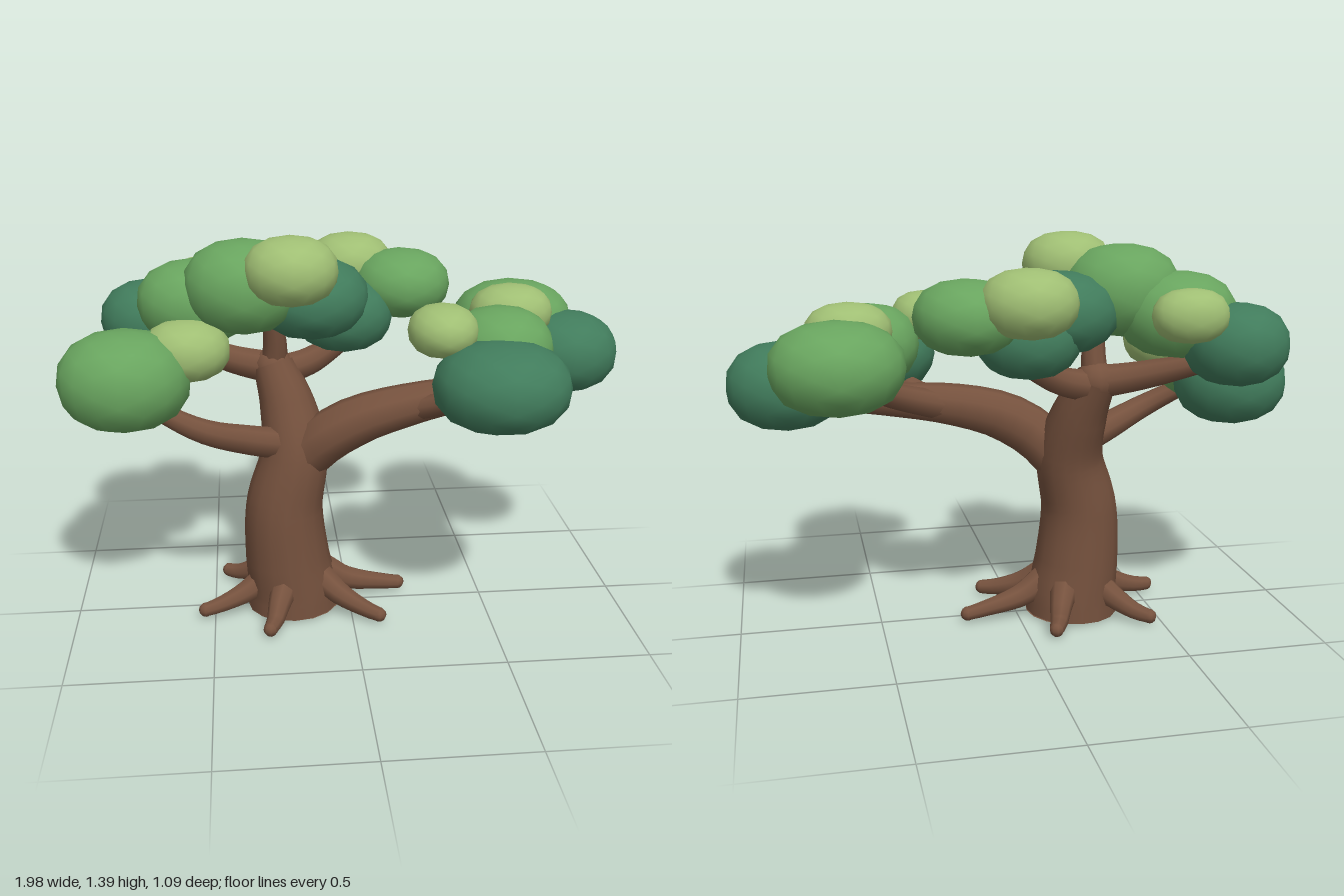
import * as THREE from 'three';
import { mergeVertices } from 'three/addons/utils/BufferGeometryUtils.js';

const mat = (name, color) => Object.assign(new THREE.MeshStandardMaterial({ color }), { name });

// Tube along a smooth path whose radius follows evenly spaced values
function taperedTube(points, radii, sides, rings = 14) {
  const curve = new THREE.CatmullRomCurve3(points.map(p => new THREE.Vector3(...p)));
  const geo = new THREE.TubeGeometry(curve, rings, 1, sides, false);
  const pos = geo.attributes.position, v = new THREE.Vector3();
  for (let i = 0; i <= rings; i++) {
    const centre = curve.getPointAt(i / rings);
    const t = (i / rings) * (radii.length - 1);
    const k = Math.min(Math.floor(t), radii.length - 2);
    const r = THREE.MathUtils.lerp(radii[k], radii[k + 1], t - k);
    for (let j = 0; j <= sides; j++) {
      const n = i * (sides + 1) + j;
      v.fromBufferAttribute(pos, n).sub(centre).multiplyScalar(r).add(centre);
      pos.setXYZ(n, v.x, v.y, v.z);
    }
  }
  return geo;
}

// Rounded clump with fuller shoulders than a sphere
function clumpGeometry() {
  let geo = new THREE.IcosahedronGeometry(1, 2);
  geo.deleteAttribute('uv');
  geo.deleteAttribute('normal');
  geo = mergeVertices(geo, 1e-4);
  const pos = geo.attributes.position, v = new THREE.Vector3(), p = 2.35;
  for (let i = 0; i < pos.count; i++) {
    v.fromBufferAttribute(pos, i);
    v.divideScalar((Math.hypot(v.x, v.z) ** p + Math.abs(v.y) ** p) ** (1 / p));
    pos.setXYZ(i, v.x, v.y, v.z);
  }
  geo.computeVertexNormals();
  return geo;
}

export function createModel() {
  const tree = new THREE.Group();
  tree.name = 'tree';
  const bark = mat('bark brown', 0x76523e);
  bark.side = THREE.DoubleSide;
  const leaves = {
    dark: mat('dark leaf green', 0x417c5c),
    mid: mat('leaf green', 0x69a55f),
    light: mat('light leaf green', 0xa0bf74),
  };
  const add = (name, geo, material, parent = tree) => {
    const mesh = new THREE.Mesh(geo, material);
    mesh.name = name;
    parent.add(mesh);
    return mesh;
  };

  // Trunk, bending to one side and leaning back at the top
  add('trunk', taperedTube(
    [[-0.208, 0.005, -0.01], [-0.21, 0.07, -0.01], [-0.228, 0.2, -0.007], [-0.235, 0.4, -0.005],
      [-0.195, 0.6, -0.02], [-0.215, 0.76, -0.07], [-0.26, 0.9, -0.12]],
    [0.17, 0.157, 0.146, 0.135, 0.12, 0.1, 0.074], 16, 24), bark);
  const base = add('trunkBase', new THREE.CircleGeometry(0.17, 16), bark);
  base.rotation.x = Math.PI / 2;
  base.position.set(-0.208, 0.005, -0.01);
  add('trunkFork', new THREE.SphereGeometry(0.073, 12, 8), bark).position.set(-0.26, 0.89, -0.12);

  // Roots: direction in degrees from +x towards +z, and reach
  const roots = new THREE.Group();
  roots.name = 'roots';
  tree.add(roots);
  [[-7, 0.42], [34, 0.38], [111, 0.31], [163, 0.375], [220, 0.35], [293, 0.3]].forEach(([deg, reach]) => {
    const a = THREE.MathUtils.degToRad(deg);
    const at = (d, y) => [-0.2 + Math.cos(a) * d, y, -0.01 + Math.sin(a) * d];
    add('root', taperedTube([at(0.1, 0.13), at(0.19, 0.075), at(reach - 0.08, 0.04), at(reach - 0.025, 0.031)],
      [0.055, 0.045, 0.034, 0.026], 8, 8), bark, roots);
    const tip = add('rootTip', new THREE.SphereGeometry(0.026, 8, 6), bark, roots);
    tip.position.set(...at(reach - 0.025, 0.031));
  });

  // Limbs and branches
  const limbs = [
    ['mainLimb', [[-0.15, 0.6, 0.0], [-0.08, 0.67, 0.03], [0.04, 0.74, 0.05], [0.22, 0.79, 0.05], [0.45, 0.825, 0.02], [0.72, 0.87, -0.1]], [0.094, 0.092, 0.08, 0.066, 0.052, 0.035]],
    ['frontLimbFork', [[0.2, 0.77, 0.05], [0.32, 0.82, 0.14], [0.46, 0.9, 0.27]], [0.045, 0.038, 0.028]],
    ['backLimbFork', [[0.22, 0.78, 0.05], [0.42, 0.845, -0.04], [0.65, 0.95, -0.21]], [0.055, 0.045, 0.03]],
    ['lowBranch', [[-0.2, 0.63, -0.01], [-0.36, 0.68, 0.06], [-0.52, 0.74, 0.115], [-0.74, 0.85, 0.08]], [0.06, 0.052, 0.04, 0.028]],
    ['leftBranch', [[-0.25, 0.885, -0.12], [-0.4, 0.91, -0.16], [-0.66, 0.98, -0.27]], [0.06, 0.048, 0.03]],
    ['rightBranch', [[-0.26, 0.87, -0.12], [-0.13, 0.9, -0.15], [0.02, 0.98, -0.2]], [0.058, 0.05, 0.036]],
    ['topBranch', [[-0.26, 0.88, -0.12], [-0.255, 0.98, -0.1], [-0.27, 1.12, -0.07]], [0.05, 0.042, 0.03]],
  ];
  limbs.forEach(([name, points, radii]) => add(name, taperedTube(points, radii, 9), bark));

  // Foliage clumps: colour, centre, radii
  const foliage = new THREE.Group();
  foliage.name = 'foliage';
  tree.add(foliage);
  const clump = clumpGeometry();
  [
    // left cluster
    ['mid', [-0.77, 0.925, 0.1], [0.225, 0.168, 0.215]],
    ['dark', [-0.765, 0.867, -0.095], [0.2, 0.15, 0.2]],
    ['dark', [-0.7, 1.035, -0.295], [0.18, 0.14, 0.187]],
    ['mid', [-0.53, 1.125, -0.17], [0.207, 0.148, 0.2]],
    ['light', [-0.5, 1.15, -0.39], [0.13, 0.09, 0.1]],
    ['light', [-0.56, 1.005, 0.035], [0.15, 0.105, 0.14]],
    // crown
    ['mid', [-0.36, 1.2, -0.07], [0.208, 0.16, 0.21]],
    ['light', [-0.2, 1.28, 0.07], [0.16, 0.115, 0.16]],
    ['dark', [-0.12, 1.138, -0.135], [0.205, 0.14, 0.213]],
    ['dark', [0, 1.06, -0.2], [0.178, 0.132, 0.18]],
    ['mid', [0.22, 1.152, -0.28], [0.178, 0.122, 0.19]],
    ['light', [0.04, 1.205, -0.393], [0.16, 0.112, 0.158]],
    // right cluster
    ['mid', [0.64, 1.0, -0.27], [0.222, 0.15, 0.22]],
    ['dark', [0.8, 0.922, -0.12], [0.196, 0.144, 0.2]],
    ['light', [0.588, 1.085, -0.075], [0.148, 0.098, 0.132]],
    ['mid', [0.51, 1.008, 0.12], [0.182, 0.142, 0.19]],
    ['dark', [0.475, 0.938, 0.325], [0.23, 0.147, 0.222]],
    ['light', [0.298, 1.095, 0.19], [0.118, 0.087, 0.137]],
  ].forEach(([tone, centre, radii]) => {
    const mesh = add(tone + 'LeafClump', clump, leaves[tone], foliage);
    mesh.position.set(...centre);
    mesh.scale.set(...radii);
  });
  return tree;
}
